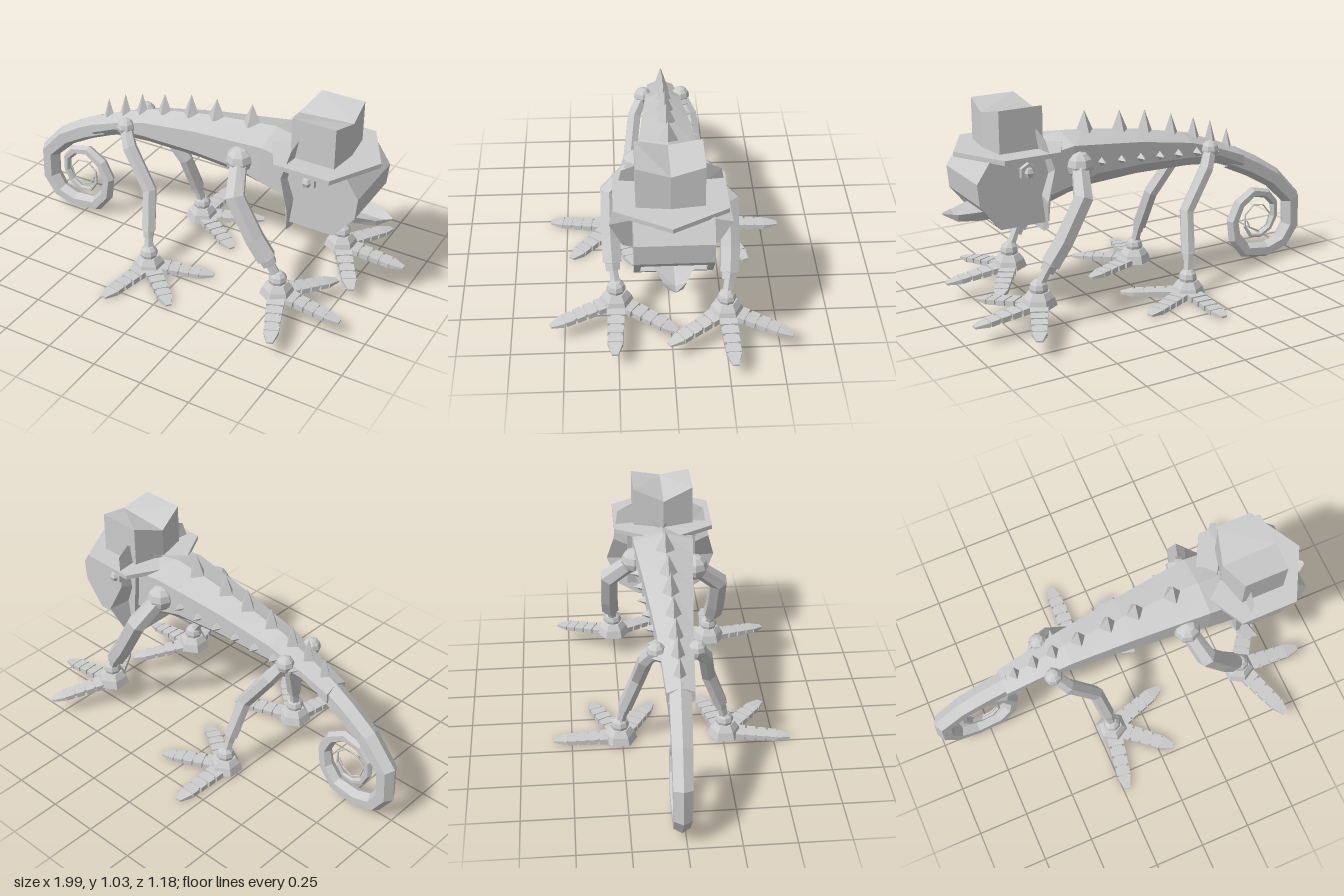
import * as THREE from 'three';

const mat = new THREE.MeshStandardMaterial({ color: 0xcccccc, flatShading: true, side: THREE.DoubleSide });
const V = (x, y, z) => new THREE.Vector3(x, y, z);

function add(parent, geo, name, x = 0, y = 0, z = 0) {
  const m = new THREE.Mesh(geo, mat);
  m.name = name;
  m.position.set(x, y, z);
  parent.add(m);
  return m;
}

function geometry(points, index) {
  const g = new THREE.BufferGeometry().setFromPoints(points);
  g.setIndex(index);
  g.computeVertexNormals();
  return g;
}

// Skin over cross-section rings, closed at both ends
function loft(rings) {
  const n = rings[0].length, idx = [], last = (rings.length - 1) * n;
  for (let i = 0; i < rings.length - 1; i++) {
    for (let j = 0; j < n; j++) {
      const a = i * n + j, b = i * n + (j + 1) % n;
      idx.push(a, b, a + n, b, b + n, a + n);
    }
  }
  for (let j = 1; j < n - 1; j++) idx.push(0, j + 1, j, last, last + j, last + j + 1);
  return geometry(rings.flat(), idx);
}

// Tapered tube with straight segments
function sweep(path, radii, sides = 6) {
  return loft(path.map((p, i) => {
    const t = path[Math.min(i + 1, path.length - 1)].clone().sub(path[Math.max(i - 1, 0)]).normalize();
    const b = t.clone().cross(V(0, 0, 1)).normalize(), n = b.clone().cross(t);
    return Array.from({ length: sides }, (_, j) => {
      const a = (j + 0.5) / sides * Math.PI * 2;
      return p.clone().addScaledVector(n, Math.cos(a) * radii[i]).addScaledVector(b, Math.sin(a) * radii[i]);
    });
  }));
}

function plate(points, depth) {
  const s = new THREE.Shape(points.map(([x, y]) => new THREE.Vector2(x, y)));
  return new THREE.ExtrudeGeometry(s, { depth, bevelEnabled: false }).translate(0, 0, -depth / 2);
}

// Segmented toe pointing along +x
function makeToe(length) {
  const toe = new THREE.Group();
  toe.name = 'toe';
  add(toe, new THREE.BoxGeometry(length - 0.05, 0.018, 0.052), 'toeCore', (length - 0.05) / 2);
  const step = (length - 0.12) / 4;
  for (let i = 0; i < 4; i++) {
    const w = 0.082 - i * 0.004;
    add(toe, new THREE.BoxGeometry(step * 0.8, 0.03 - i * 0.002, w), 'toeSegment', 0.055 + step * (i + 0.5));
  }
  const tip = new THREE.CylinderGeometry(0.02, 0.05, 0.065, 4).rotateY(Math.PI / 4).rotateZ(-Math.PI / 2);
  add(toe, tip.scale(1, 0.32, 1), 'toeTip', length - 0.0325);
  return toe;
}

function makeFoot(x, y, z, angles, length, droop) {
  const foot = new THREE.Group();
  foot.name = 'foot';
  foot.position.set(x, y, z);
  add(foot, new THREE.CylinderGeometry(0.072, 0.085, 0.04, 6), 'footBase', 0, 0.01);
  add(foot, new THREE.CylinderGeometry(0.05, 0.072, 0.03, 6), 'footTop', 0, 0.045);
  add(foot, new THREE.SphereGeometry(0.045, 8, 6), 'ankle', 0, 0.075);
  for (const deg of angles) {
    const toe = makeToe(length);
    toe.rotation.set(0, -deg * Math.PI / 180, -droop);
    foot.add(toe);
  }
  return foot;
}

// Ball joint, bent limb, cuff, thin shin and foot
function makeLeg(name, path, radius, ball, foot) {
  const leg = new THREE.Group();
  leg.name = name;
  const end = path[path.length - 1];
  add(leg, new THREE.SphereGeometry(ball, 8, 6), 'jointBall', ...path[0].toArray());
  add(leg, sweep(path, path.map((_, i) => radius * (i === 0 ? 0.85 : 1))), 'limb');
  const ankle = foot.position.clone().add(V(0, 0.08, 0));
  const cuff = end.clone().lerp(ankle, 0.3);
  add(leg, sweep([end, cuff], [radius * 0.8, radius * 0.75]), 'cuff');
  add(leg, sweep([cuff, ankle], [0.022, 0.026]), 'shin');
  leg.add(foot);
  return leg;
}

export function createModel() {
  const model = new THREE.Group();
  model.name = 'chameleon';

  // Body stations: x, ridge, upper side, lower side, belly, half width
  const body = [
    [-0.63, 0.64, 0.615, 0.57, 0.535, 0.065], [-0.48, 0.705, 0.675, 0.64, 0.59, 0.075],
    [-0.3, 0.77, 0.735, 0.66, 0.61, 0.088], [0, 0.83, 0.79, 0.68, 0.62, 0.115],
    [0.25, 0.863, 0.82, 0.68, 0.61, 0.138], [0.38, 0.875, 0.835, 0.65, 0.59, 0.15],
    [0.54, 0.84, 0.81, 0.61, 0.54, 0.15],
  ].map(([x, t, u, l, b, w]) => [V(x, t, 0), V(x, u, w), V(x, l, w), V(x, b, w * 0.5),
    V(x, b, -w * 0.5), V(x, l, -w), V(x, u, -w)]);
  add(model, loft(body), 'body');

  // Back spikes, and a smaller row on the right flank
  const spikes = [[-0.56, 0.66, 0.095], [-0.46, 0.7, 0.11], [-0.36, 0.735, 0.105], [-0.23, 0.775, 0.1],
    [-0.08, 0.805, 0.11], [0.06, 0.83, 0.1], [0.25, 0.85, 0.105]];
  spikes.forEach(([x, y, h], i) =>
    add(model, new THREE.ConeGeometry(0.03 + i * 0.003, h, 4), 'backSpike', x, y + h / 2));
  for (let i = 0; i < 7; i++) {
    const x = -0.44 + i * 0.112;
    const cone = new THREE.ConeGeometry(0.024, 0.045, 4).rotateX(-Math.PI / 2);
    add(model, cone, 'flankSpike', x, 0.675 + i * 0.01, -0.1 - i * 0.009);
  }

  // Curled tail
  const tail = [[-0.58, 0.6], [-0.71, 0.535], [-0.84, 0.455], [-0.96, 0.33], [-0.965, 0.18], [-0.91, 0.095],
    [-0.81, 0.062], [-0.68, 0.08], [-0.615, 0.16], [-0.6, 0.255], [-0.64, 0.34], [-0.72, 0.392], [-0.805, 0.372],
    [-0.856, 0.315], [-0.86, 0.24], [-0.832, 0.18], [-0.775, 0.147], [-0.715, 0.155], [-0.678, 0.21], [-0.68, 0.275],
    [-0.73, 0.32], [-0.79, 0.312], [-0.832, 0.26], [-0.815, 0.2], [-0.765, 0.172], [-0.71, 0.2], [-0.69, 0.24]];
  add(model, sweep(tail.map(([x, y], i) => V(x, y, -0.02 * Math.min(1, i / 3))),
    tail.map((_, i) => Math.max(0.004, 0.06 - 0.0029 * i))), 'tail');

  // Neck shield, swept forward at the edges
  const half = [[0.575, 0.945, 0.15], [0.565, 0.91, 0.22], [0.53, 0.77, 0.245], [0.585, 0.63, 0.28],
    [0.555, 0.49, 0.22], [0.53, 0.44, 0.12]];
  const rim = [[0.48, 0.85, 0], ...half, [0.53, 0.44, 0], ...half.map(([x, y, z]) => [x, y, -z]).reverse()];
  const fan = [];
  for (let i = 1; i <= rim.length; i++) fan.push(0, i, i % rim.length + 1);
  add(model, geometry([V(0.53, 0.65, 0), ...rim.map((p) => V(...p))], fan), 'neckShield');

  // Head with open mouth between two cheeks
  const head = new THREE.Group();
  head.name = 'head';
  model.add(head);
  const top = [[0.87, 0.63], [0.88, 0.735], [0.815, 0.83], [0.5, 0.83]];
  add(head, plate([[0.53, 0.505], [0.77, 0.505], [0.788, 0.525], [0.66, 0.525], [0.66, 0.6], [0.848, 0.6], ...top], 0.3), 'skull');
  for (const s of [1, -1]) {
    add(head, plate([[0.53, 0.505], [0.77, 0.505], ...top], 0.03), 'cheek', 0, 0, s * 0.16);
    add(head, new THREE.CylinderGeometry(0.044, 0.044, 0.03, 6).rotateX(Math.PI / 2), 'eye', 0.635, 0.76, s * 0.182);
    add(head, new THREE.SphereGeometry(0.028, 6, 4), 'pupil', 0.635, 0.76, s * 0.19);
  }
  const tongue = [[0.66, 0.55, 0.095, 0.02], [0.82, 0.55, 0.09, 0.025], [0.92, 0.547, 0.05, 0.018], [0.978, 0.565, 0.008, 0.003]];
  add(head, loft(tongue.map(([x, y, w, t]) => [V(x, y, 0), V(x, y + t, w), V(x, y - t, w * 0.7),
    V(x, y - t, -w * 0.7), V(x, y + t, -w)])), 'tongue');

  // Hat: six-sided brim and creased crown
  const hat = new THREE.Group();
  hat.name = 'hat';
  model.add(hat);
  const brim = new THREE.CylinderGeometry(0.275, 0.275, 0.022, 6).rotateY(Math.PI / 6 * 3).scale(1, 1, 1.05);
  add(hat, brim, 'hatBrim', 0.635, 0.835, 0.01);
  const crown = [[0.768, 1.01, 0], [0.75, 1.045, -0.15], [0.535, 1.045, -0.15], [0.495, 0.99, 0],
    [0.535, 1.045, 0.15], [0.75, 1.045, 0.15]];
  add(hat, loft([crown.map(([x, , z]) => V(x, 0.84, z)), crown.map(([x, y, z]) => V(x, y, z))]), 'hatCrown', 0, 0, 0.012);

  // Legs: the right foreleg stands further forward
  for (const s of [1, -1]) {
    const side = s > 0 ? 'left' : 'right', dx = s > 0 ? 0 : 0.09;
    const fore = [V(0.265 + dx, 0.74, s * 0.15), V(0.315 + dx, 0.62, s * 0.275), V(0.42 + dx, 0.43, s * 0.275), V(0.485 + dx, 0.335, s * 0.27)];
    const foreToes = s > 0 ? [68, 2, -56] : [-64, -3, 56];
    model.add(makeLeg(side + 'FrontLeg', fore, 0.05, 0.065, makeFoot(0.54 + dx, 0.15, s * 0.255, foreToes, 0.335, 0.12)));
    const hind = [V(-0.4, 0.69, s * 0.095), V(-0.35, 0.61, s * 0.14), V(-0.22, 0.42, s * 0.17), V(-0.19, 0.23, s * 0.235)];
    const hindToes = s > 0 ? [100, 41, -18] : [-89, -25, 32];
    model.add(makeLeg(side + 'BackLeg', hind, 0.037, 0.045, makeFoot(-0.175, 0.04, s * 0.26, hindToes, 0.33, 0.03)));
  }
  return model;
}
